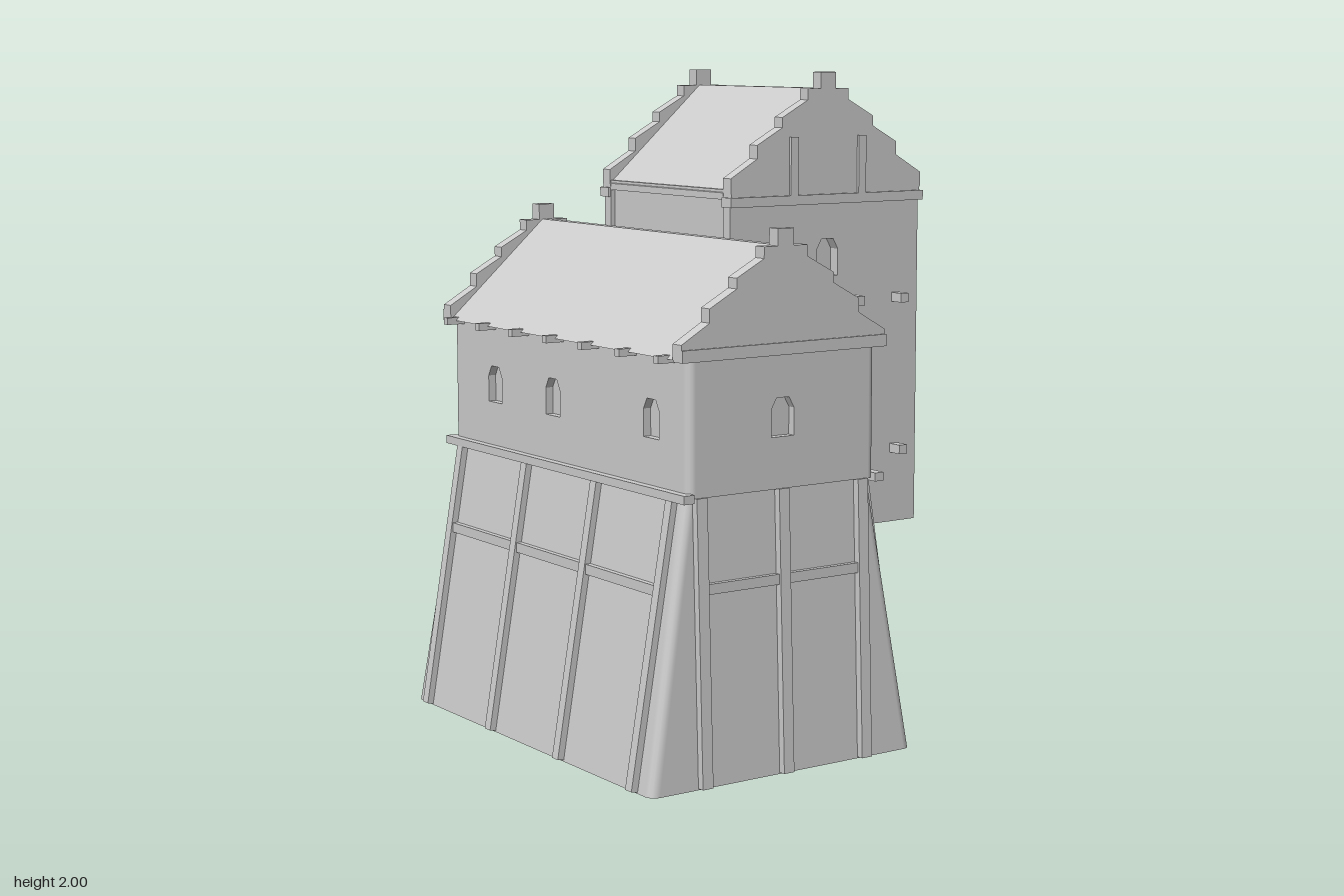
import * as THREE from 'three';

const grey = new THREE.MeshStandardMaterial({ color: 0xcccccc });
const flat = new THREE.MeshStandardMaterial({ color: 0xcccccc, flatShading: true });
const open = new THREE.MeshStandardMaterial({ color: 0xcccccc, side: THREE.DoubleSide });

function add(parent, name, geometry, material = flat) {
  const mesh = new THREE.Mesh(geometry, material);
  mesh.name = name;
  parent.add(mesh);
  return mesh;
}

// Box given by its limits on each axis
function box(parent, name, x0, x1, y0, y1, z0, z1) {
  const mesh = add(parent, name, new THREE.BoxGeometry(x1 - x0, y1 - y0, z1 - z0));
  mesh.position.set((x0 + x1) / 2, (y0 + y1) / 2, (z0 + z1) / 2);
  return mesh;
}

// Square timber between two points; "across" is the direction of its width
function timber(parent, name, from, to, across, width, depth) {
  const a = new THREE.Vector3(...from), b = new THREE.Vector3(...to);
  const dir = b.clone().sub(a), x = new THREE.Vector3(...across);
  const mesh = add(parent, name, new THREE.BoxGeometry(width, dir.length(), depth));
  dir.normalize();
  const z = x.clone().cross(dir).normalize();
  mesh.quaternion.setFromRotationMatrix(new THREE.Matrix4().makeBasis(x, dir, z));
  mesh.position.copy(a).add(b).multiplyScalar(0.5);
  return mesh;
}

const shapeOf = (pts) => new THREE.Shape(pts.map(([x, y]) => new THREE.Vector2(x, y)));

function extrude(shape, depth) {
  return new THREE.ExtrudeGeometry(shape, { depth, bevelEnabled: false });
}

// Wall slab with window openings; outer face on its local z = 0
function wall(parent, name, w, h, t, windows, pos, turn) {
  const shape = shapeOf([[-w / 2, 0], [w / 2, 0], [w / 2, h], [-w / 2, h]]);
  for (const [u, v] of windows) {
    const outline = [[-0.04, 0], [-0.04, 0.08], [-0.022, 0.112], [0.022, 0.112], [0.04, 0.08], [0.04, 0]];
    shape.holes.push(new THREE.Path(outline.map(([x, y]) => new THREE.Vector2(x + u, y + v))));
  }
  const geometry = extrude(shape, t).translate(0, 0, -t);
  const mesh = add(parent, name, geometry);
  mesh.position.set(...pos);
  mesh.rotation.y = turn;
  return mesh;
}

// Stepped gable; each step top follows the roof slope
function gable(parent, cx, y, z, thickness) {
  const half = [[0.357, 0], [0.357, 0.045], [0.262, 0.1], [0.262, 0.14], [0.17, 0.19], [0.17, 0.22],
    [0.076, 0.27], [0.076, 0.303], [0.028, 0.303], [0.028, 0.352]];
  const pts = [...half, ...half.map(([x, v]) => [-x, v]).reverse()];
  const mesh = add(parent, 'steppedGable', extrude(shapeOf(pts), thickness));
  mesh.position.set(cx, y, z - thickness / 2);
}

// Pitched roof with a softened ridge
function roof(parent, cx, y, z, length, halfWidth, rise) {
  const shape = shapeOf([[-halfWidth, 0], [halfWidth, 0], [0.035, rise - 0.02], [0.015, rise - 0.003],
    [-0.015, rise - 0.003], [-0.035, rise - 0.02]]);
  const mesh = add(parent, 'roof', extrude(shape, length));
  mesh.position.set(cx, y, z - length / 2);
}

// Ring of a rectangle with rounded corners, at height y
function ring(x0, x1, y, hz, r) {
  const pts = [];
  const corners = [[x1 - r, hz - r, 0], [x0 + r, hz - r, 1], [x0 + r, r - hz, 2], [x1 - r, r - hz, 3]];
  for (const [cx, cz, q] of corners) {
    for (let i = 0; i <= 4; i++) {
      const a = (q + i / 4) * Math.PI / 2;
      pts.push([cx + r * Math.cos(a), y, cz + r * Math.sin(a)]);
    }
  }
  return pts;
}

// Battered base: an open shell between two rings, with posts and rails
function buildBase() {
  const g = new THREE.Group();
  g.name = 'base';
  const X0 = [-0.61, -0.47], X1 = [0.325, 0.185], HZ = [0.675, 0.64], H = 0.83;
  const low = ring(X0[0], X1[0], 0, HZ[0], 0.03), high = ring(X0[1], X1[1], H, HZ[1], 0.03);
  const n = low.length, index = [];
  for (let i = 0; i < n; i++) {
    const j = (i + 1) % n;
    index.push(i, n + i, j, j, n + i, n + j);
  }
  const shell = new THREE.BufferGeometry();
  shell.setAttribute('position', new THREE.Float32BufferAttribute([...low, ...high].flat(), 3));
  shell.setIndex(index);
  shell.computeVertexNormals();
  add(g, 'batteredWall', shell, open);

  const at = (pair, y) => pair[0] + (pair[1] - pair[0]) * y / H;
  for (const s of [1, -1]) {
    // Front and back
    for (const x of [-0.43, -0.145, 0.14]) {
      timber(g, 'endPost', [x - 0.003, 0.004, s * HZ[0]], [x + 0.003, H, s * HZ[1]], [1, 0, 0], 0.036, 0.045);
    }
    const z = s * at(HZ, 0.57);
    timber(g, 'endRail', [-0.43, 0.57, z], [0.14, 0.57, z], [0, 1, 0], 0.03, 0.03);
    // Long sides
    const X = s > 0 ? X1 : X0;
    for (const pz of [-0.59, -0.197, 0.197, 0.59]) {
      timber(g, 'sidePost', [X[0], 0.004, pz], [X[1], H, pz * 0.995], [0, 0, 1], 0.032, 0.04);
    }
    const x = at(X, 0.565);
    timber(g, 'sideRail', [x, 0.565, -0.59], [x, 0.565, 0.59], [0, 1, 0], 0.03, 0.03);
  }
  return g;
}

// Long hall on top of the base
function buildHall() {
  const g = new THREE.Group();
  g.name = 'hall';
  const x0 = -0.47, x1 = 0.19, cx = -0.14, y0 = 0.83, h = 0.395, hz = 0.655, t = 0.025, v = 0.15;
  box(g, 'hallCore', x0 + t, x1 - t, y0, y0 + h, -hz + t, hz - t);
  wall(g, 'hallFront', x1 - x0 - 2 * t, h, t, [[-0.005, v]], [cx, y0, hz], 0);
  wall(g, 'hallBack', x1 - x0 - 2 * t, h, t, [[0.005, v]], [cx, y0, -hz], Math.PI);
  wall(g, 'hallLeftSide', 2 * (hz - t), h, t, [[-0.49, v], [0.4, v]], [x1, y0, 0], Math.PI / 2);
  wall(g, 'hallRightSide', 2 * (hz - t), h, t, [[-0.4, v], [-0.06, v], [0.47, v]], [x0, y0, 0], -Math.PI / 2);
  for (const x of [x0 + t, x1 - t]) {
    for (const z of [hz - t, t - hz]) {
      add(g, 'roundedCorner', new THREE.CylinderGeometry(t, t, h, 16), grey).position.set(x, y0 + h / 2, z);
    }
  }
  // Side ledges and eaves corbels
  box(g, 'ledge', x0 - 0.025, x0 + 0.01, 0.82, 0.845, -0.67, 0.67);
  box(g, 'ledge', x1 - 0.01, x1 + 0.022, 0.82, 0.845, -0.67, 0.67);
  for (let i = 0; i < 7; i++) {
    const z = -0.6 + i * 0.197;
    box(g, 'corbel', -0.53, x0 + 0.01, 1.208, 1.23, z - 0.011, z + 0.011);
    box(g, 'corbel', x1 - 0.01, 0.243, 1.208, 1.23, z - 0.011, z + 0.011);
  }
  roof(g, -0.143, 1.22, 0, 1.27, 0.357, 0.307);
  for (const s of [1, -1]) {
    gable(g, -0.143, 1.22, s * 0.643, 0.042);
    const z = s * 0.648;
    box(g, 'gableBand', -0.5, 0.217, 1.215, 1.25, z - 0.022, z + 0.022);
  }
  return g;
}

// Tall tower standing out over one long side
function buildTower() {
  const g = new THREE.Group();
  g.name = 'tower';
  g.position.z = -0.02;
  const x0 = -0.09, x1 = 0.62, cx = 0.265, y0 = 0.61, h = 1.03, hz = 0.338, t = 0.035;
  const rows = [0.365, 0.78];
  box(g, 'towerCore', x0 + 0.04, x1 - 0.045, y0, y0 + h + 0.01, -hz + t, hz - t);
  wall(g, 'towerFront', x1 - x0, h, t, rows.map((v) => [0.005, v]), [cx, y0, hz], 0);
  wall(g, 'towerBack', x1 - x0, h, t, rows.map((v) => [-0.005, v]), [cx, y0, -hz], Math.PI);
  const pairs = rows.flatMap((v) => [[-0.137, v], [0.137, v]]);
  wall(g, 'towerLeftSide', 2 * (hz - t), h, 0.025, pairs, [x1 - 0.02, y0, 0], Math.PI / 2);
  wall(g, 'towerRightSide', 2 * (hz - t), h, 0.025, pairs, [x0 + 0.015, y0, 0], -Math.PI / 2);
  // String courses between the end walls
  for (const y of [0.832, 1.31, 1.645]) {
    box(g, 'stringCourse', x1 - 0.03, x1, y - 0.015, y + 0.015, -hz + t, hz - t);
    box(g, 'stringCourse', x0, x0 + 0.03, y - 0.015, y + 0.015, -hz + t, hz - t);
  }
  roof(g, cx, 1.65, 0, 0.62, 0.357, 0.305);
  for (const s of [1, -1]) {
    gable(g, cx, 1.648, s * 0.325, 0.04);
    const z = s * 0.33;
    box(g, 'gableBand', x0 - 0.007, x1 + 0.007, 1.608, 1.637, z - 0.024, z + 0.024);
    box(g, 'gableFoot', x0, x1, 1.63, 1.655, s * 0.325 - 0.02, s * 0.325 + 0.02);
    for (const x of [0.135, 0.39]) {
      box(g, 'gableStrip', x - 0.014, x + 0.014, 1.637, 1.81, s * 0.34 - 0.014, s * 0.34 + 0.014);
    }
    // Projecting beam ends
    for (const y of [0.842, 1.312]) {
      for (const x of [0.178, 0.365, 0.535]) {
        box(g, 'beamEnd', x - 0.015, x + 0.015, y - 0.014, y + 0.014, s * 0.355 - 0.03, s * 0.355 + 0.03);
      }
    }
  }
  return g;
}

export function createModel() {
  const model = new THREE.Group();
  model.name = 'gabledTowerHouse';
  model.add(buildBase(), buildHall(), buildTower());
  return model;
}
